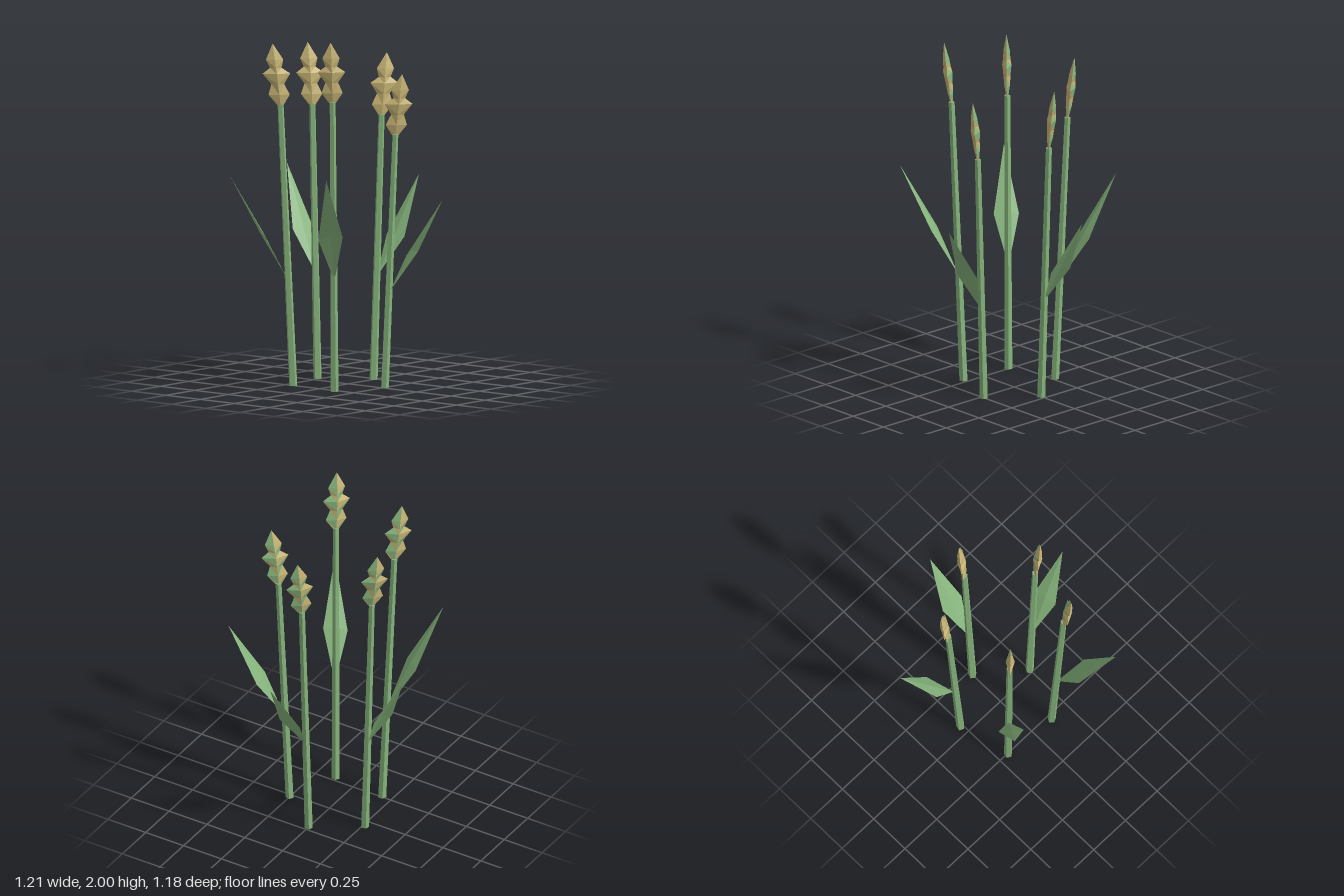
import * as THREE from 'three';

const green = new THREE.MeshStandardMaterial({ color: 0x86b47c, flatShading: true });
green.name = 'leafGreen';
const greenLeaf = green;
greenLeaf.side = THREE.DoubleSide;
const tan = new THREE.MeshStandardMaterial({ color: 0xc9b676, flatShading: true, side: THREE.DoubleSide });
tan.name = 'grainTan';

// Each stalk: stem base and top, then leaf base, two side corners and tip
const STALKS = [
  { base: [-0.265, 0, -0.05], top: [-0.33, 1.55, -0.083],
    leaf: [[-0.3, 0.6, -0.07], [-0.405, 0.83, -0.18], [-0.45, 0.83, -0.055], [-0.605, 1.18, -0.19]] },
  { base: [-0.19, 0, 0.255], top: [-0.235, 1.6, 0.312],
    leaf: [[-0.21, 0.6, 0.275], [-0.245, 0.86, 0.435], [-0.355, 0.86, 0.345], [-0.42, 1.21, 0.54]] },
  { base: [0, 0, -0.223], top: [0.003, 1.5, -0.29],
    leaf: [[0, 0.58, -0.25], [0.083, 0.8, -0.395], [-0.055, 0.8, -0.405], [0.027, 1.13, -0.59]] },
  { base: [0.13, 0, 0.278], top: [0.166, 1.65, 0.338],
    leaf: [[0.15, 0.63, 0.3], [0.28, 0.9, 0.385], [0.165, 0.88, 0.46], [0.33, 1.25, 0.59]] },
  { base: [0.25, 0, -0.02], top: [0.312, 1.44, -0.038],
    leaf: [[0.285, 0.55, -0.025], [0.4, 0.77, -0.13], [0.43, 0.77, 0.005], [0.6, 1.09, -0.11]] },
];

// Grain head levels: height, half width, half thickness
const HEAD = [
  [0, 0.018, 0.006], [0.06, 0.06, 0.016], [0.12, 0.036, 0.02], [0.18, 0.078, 0.026],
  [0.213, 0.033, 0.021], [0.26, 0.049, 0.018], [0.35, 0.001, 0.001],
];

function meshFrom(triangles, material, name) {
  const g = new THREE.BufferGeometry().setFromPoints(triangles.flat());
  g.computeVertexNormals();
  const m = new THREE.Mesh(g, material);
  m.name = name;
  return m;
}

// Five-sided tapered stem, one corner turned inward, leaning outward
function makeStem(base, top) {
  const h = top[1];
  const g = new THREE.CylinderGeometry(0.018, 0.024, h, 5);
  g.rotateY(Math.atan2(-base[0], -base[2]));
  g.translate(0, h / 2, 0);
  const p = g.attributes.position;
  for (let i = 0; i < p.count; i++) {
    const t = p.getY(i) / h;
    p.setX(i, p.getX(i) + base[0] + (top[0] - base[0]) * t);
    p.setZ(i, p.getZ(i) + base[2] + (top[2] - base[2]) * t);
  }
  g.computeVertexNormals();
  const m = new THREE.Mesh(g, green);
  m.name = 'stem';
  return m;
}

// Diamond blade with a slightly raised midrib
function makeLeaf(points) {
  const [a, l, r, t] = points.map((q) => new THREE.Vector3(...q));
  const mid = l.clone().add(r).multiplyScalar(0.5);
  mid.y += 0.02;
  return meshFrom([[a, mid, l], [a, r, mid], [t, l, mid], [t, mid, r]], greenLeaf, 'leaf');
}

// Flattened jagged head: tan face, tan and green husks behind
function makeHead(top) {
  const s = Math.SQRT1_2;
  const out = new THREE.Vector2(top[0], top[2]).normalize().multiplyScalar(0.13);
  const at = (h, u, v) => new THREE.Vector3(
    top[0] + out.x * h + (u + v) * s, top[1] - 0.005 + h, top[2] + out.y * h + (v - u) * s);
  const grain = [], husk = [];
  for (let i = 0; i < HEAD.length - 1; i++) {
    const [h0, w0, t0] = HEAD[i], [h1, w1, t1] = HEAD[i + 1];
    for (const face of [1, -1]) for (const side of [1, -1]) {
      const c0 = at(h0, 0, face * t0), c1 = at(h1, 0, face * t1);
      const e0 = at(h0, side * w0, 0), e1 = at(h1, side * w1, 0);
      const flip = face * side < 0;
      const tris = [[c0, e0, e1], [c0, e1, c1]].map((q) => (flip ? [q[0], q[2], q[1]] : q));
      tris.forEach((q, k) => {
        const isHusk = face < 0 && (i + k + (side > 0 ? 1 : 0)) % 2 === 0;
        (isHusk ? husk : grain).push(q);
      });
    }
  }
  const head = new THREE.Group();
  head.name = 'grainHead';
  head.add(meshFrom(grain, tan, 'grain'), meshFrom(husk, green, 'husk'));
  return head;
}

export function createModel() {
  const model = new THREE.Group();
  model.name = 'grainStalks';
  for (const { base, top, leaf } of STALKS) {
    const stalk = new THREE.Group();
    stalk.name = 'stalk';
    stalk.add(makeStem(base, top), makeLeaf(leaf), makeHead(top));
    model.add(stalk);
  }
  return model;
}
